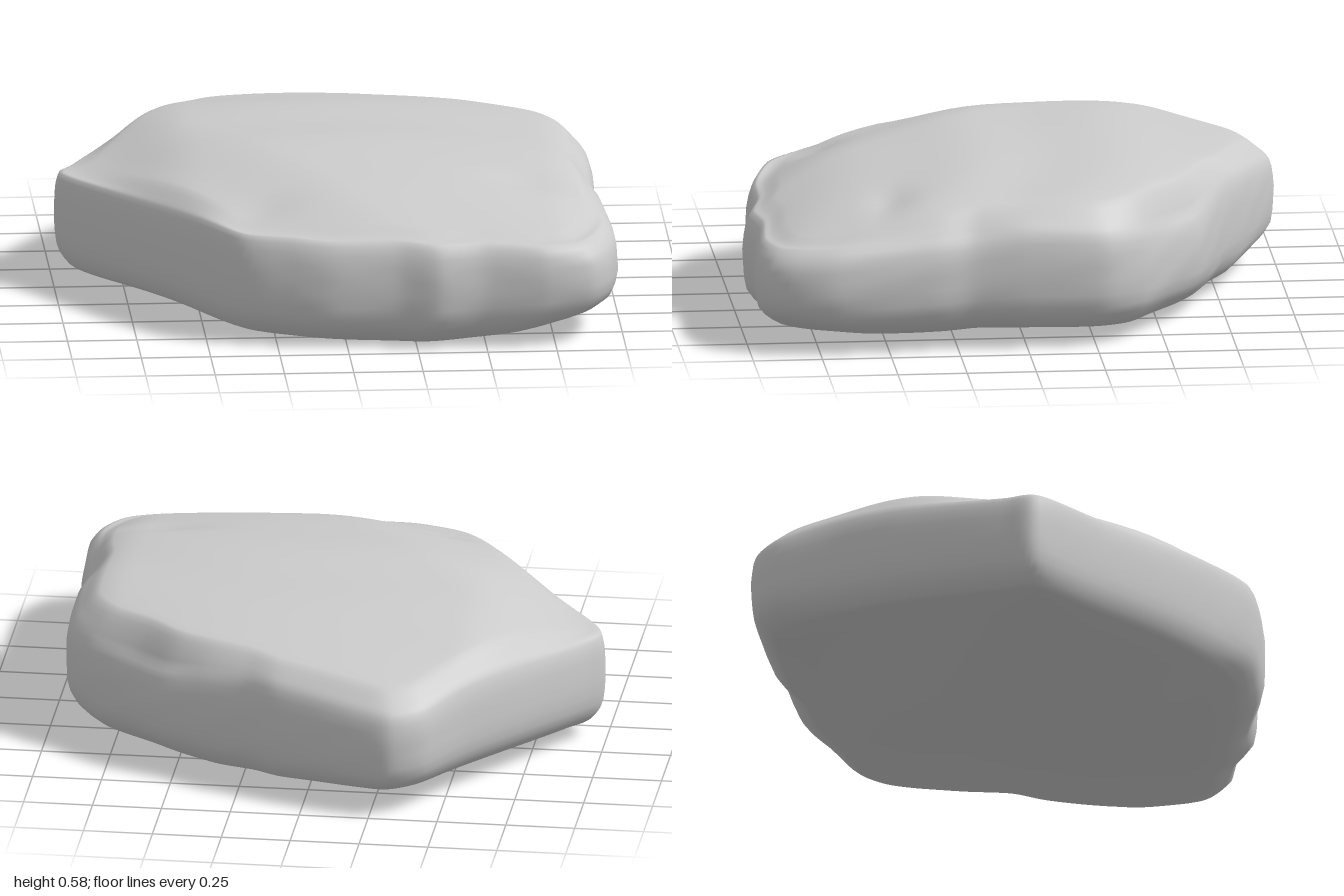
import * as THREE from 'three';

const { smoothstep, lerp } = THREE.MathUtils;
// goes from 0 to 1 as v goes from a to b, in either direction
const ramp = (v, a, b) => (a < b ? smoothstep(v, a, b) : 1 - smoothstep(v, b, a));
// soft dent centred on (cx, cz)
const dent = (x, z, cx, cz, w, d) => Math.exp(-(((x - cx) / w) ** 2) - ((z - cz) / d) ** 2);

// Slab outline: x, z, shoulder height, bevel width
const OUTLINE = [
  [-0.99, -0.07, 0.41, 0.4], [-0.94, -0.21, 0.41, 0.5], [-0.73, -0.54, 0.44, 0.5],
  [-0.58, -0.75, 0.44, 0.5], [-0.45, -0.94, 0.41, 0.6], [-0.33, -1.0, 0.4, 0.6],
  [-0.2, -0.97, 0.41, 0.6], [-0.02, -0.905, 0.43, 0.6], [0.12, -0.85, 0.44, 0.6],
  [0.24, -0.78, 0.44, 0.7], [0.4, -0.72, 0.43, 0.8], [0.55, -0.655, 0.41, 1.0],
  [0.68, -0.55, 0.41, 0.9], [0.85, -0.43, 0.43, 0.7], [0.94, -0.28, 0.44, 0.7],
  [0.95, 0.0, 0.45, 0.7], [0.945, 0.2, 0.43, 0.9], [0.97, 0.36, 0.42, 0.9],
  [0.99, 0.7, 0.4, 1.1], [0.95, 0.86, 0.39, 1.2], [0.88, 0.94, 0.38, 1.1],
  [0.72, 0.97, 0.38, 0.8], [0.5, 0.955, 0.39, 0.75], [0.33, 0.98, 0.39, 0.8],
  [0.18, 0.945, 0.4, 0.75], [-0.05, 0.935, 0.4, 0.75], [-0.2, 0.9, 0.41, 0.7],
  [-0.38, 0.83, 0.41, 0.6], [-0.52, 0.64, 0.42, 0.4], [-0.8, 0.22, 0.41, 0.4],
];

// Gently domed, faintly rippled upper face
function topHeight(x, z) {
  const dome = 0.585 - 0.24 * Math.max(0, z - 0.08) ** 2 - 0.2 * Math.max(0, -z - 0.15) ** 2
    - 0.07 * x * x - 0.04 * ramp(x, 0.75, 1) - 0.06 * ramp(x, -0.5, -0.9)
    - 0.05 * ramp(0.56 * z - 0.83 * x, 0.3, 0.75);
  return dome + 0.004 * Math.sin(12 * z - 3 * x + Math.sin(4 * x))
    - 0.02 * dent(x, z, 0.7, 0.48, 0.15, 0.06) - 0.015 * dent(x, z, -0.3, 0.66, 0.12, 0.08);
}

// Nearly flat underside, a little higher towards the left, right and back
function bottomHeight(x, z) {
  return 0.015 + 0.055 * ramp(x, 0.3, -0.95) + 0.04 * ramp(z, -0.1, -0.95)
    + 0.05 * ramp(x, 0.3, 0.95) + 0.008 * Math.sin(6 * z + 2 * x);
}

// Cross-section: inset from the rim in bevel units, and rise (0 underside to 1 shoulder)
const WALL = [
  [0.17, 0], [0.13, 0.03], [0.09, 0.08], [0.05, 0.15], [0.02, 0.24], [0.006, 0.36],
  [0, 0.5], [0, 0.64], [0.004, 0.76], [0.014, 0.87], [0.03, 0.95], [0.048, 1],
];

function slabGeometry() {
  const curve = (f) => new THREE.CatmullRomCurve3(OUTLINE.map(f), true, 'catmullrom', 0.4);
  const rim = curve((p) => new THREE.Vector3(p[0], p[2], p[1]));
  const bevels = curve((p) => new THREE.Vector3(p[3], 0, 0));
  const N = 210, rings = [];

  // underside rings, from the middle outwards
  for (const s of [0, 0.25, 0.5, 0.65, 0.77]) {
    rings.push((p) => [p.x * s, bottomHeight(p.x * s, p.z * s), p.z * s]);
  }
  // wall rings, with faint layered chipping
  WALL.forEach(([inset, rise], k) => {
    rings.push((p, bevel) => {
      const chip = 0.005 * bevel * Math.sin(k * 1.1 + 9 * p.x + 5 * p.z) * Math.sin(Math.PI * rise);
      const s = 1 - inset * bevel - Math.abs(chip);
      const x = p.x * s, z = p.z * s;
      return [x, lerp(bottomHeight(x, z), p.y, rise), z];
    });
  });
  // upper face rings, from the shoulder inwards
  for (const t of [0.12, 0.25, 0.4, 0.6, 0.8, 1]) {
    rings.push((p, bevel) => {
      const s = lerp(1 - 0.048 * bevel, 0.87, t);
      const x = p.x * s, z = p.z * s;
      return [x, lerp(p.y + 0.004, topHeight(x, z), Math.sin(t * Math.PI / 2)), z];
    });
  }
  for (let i = 20; i >= 0; i--) {
    const s = 0.87 * i / 21;
    rings.push((p) => [p.x * s, topHeight(p.x * s, p.z * s), p.z * s]);
  }

  const position = [], index = [];
  rings.forEach((ring, j) => {
    for (let i = 0; i < N; i++) {
      position.push(...ring(rim.getPoint(i / N), bevels.getPoint(i / N).x));
      if (j === rings.length - 1) continue;
      const a = j * N + i, b = j * N + (i + 1) % N;
      index.push(a, a + N, b, b, a + N, b + N);
    }
  });
  const geometry = new THREE.BufferGeometry();
  geometry.setAttribute('position', new THREE.Float32BufferAttribute(position, 3));
  geometry.setIndex(index);
  geometry.computeVertexNormals();
  return geometry;
}

export function createModel() {
  const group = new THREE.Group();
  group.name = 'flatRock';
  const slab = new THREE.Mesh(slabGeometry(), new THREE.MeshStandardMaterial({ color: 0xcccccc }));
  slab.name = 'rockSlab';
  group.add(slab);
  return group;
}
